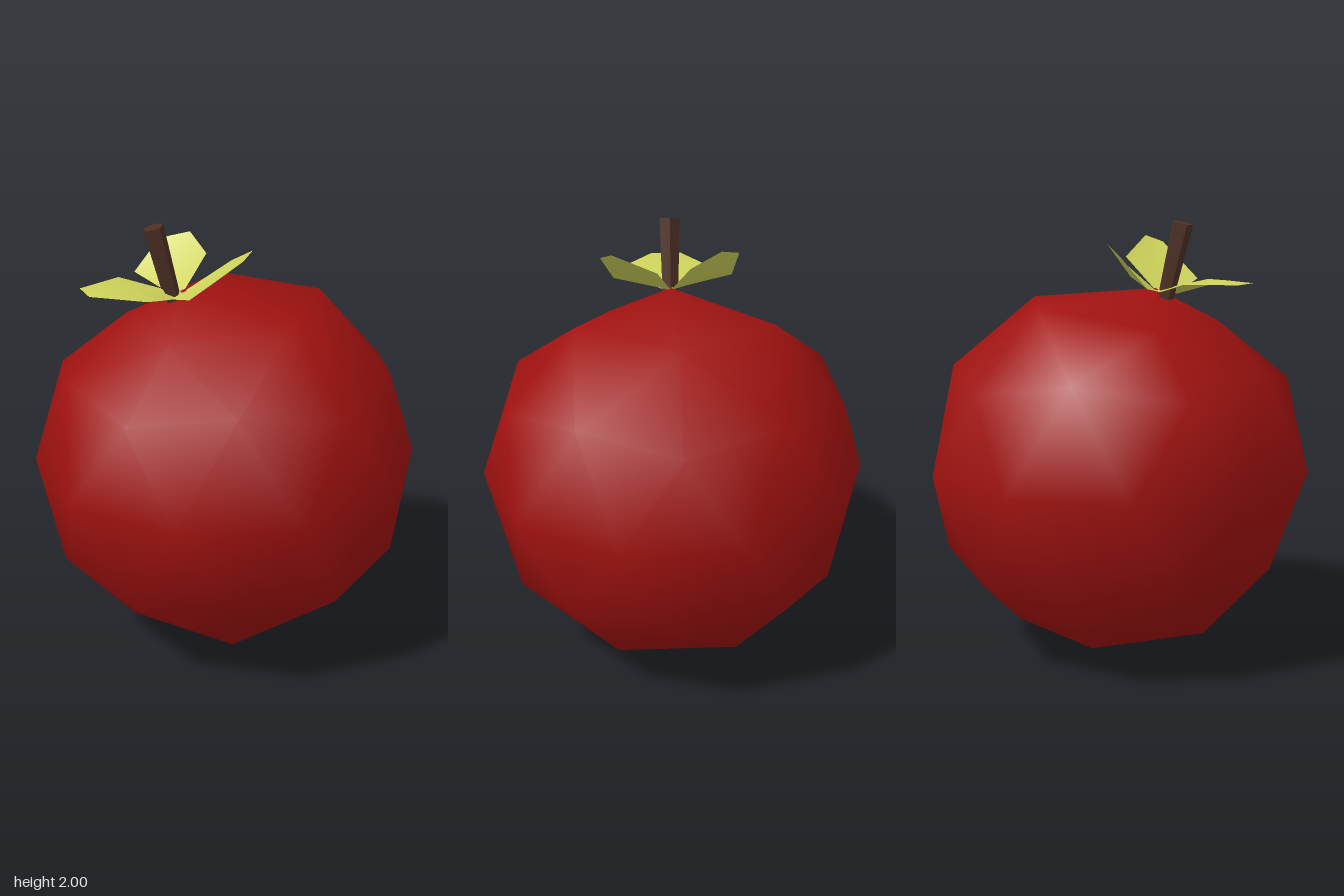
import * as THREE from 'three';
import { mergeVertices } from 'three/addons/utils/BufferGeometryUtils.js';

const paint = (color, extra = {}) => {
  const m = new THREE.MeshStandardMaterial(extra);
  m.color.set(color);
  return m;
};

function part(name, geometry, material) {
  const mesh = new THREE.Mesh(geometry, material);
  mesh.name = name;
  return mesh;
}

// Coarse smooth ball with its crown pushed sideways and dented around the stem
function fruitGeometry() {
  const r = 0.88;
  let g = new THREE.IcosahedronGeometry(r, 1);
  g.deleteAttribute('normal');
  g.deleteAttribute('uv');
  g = mergeVertices(g, 1e-3);
  g.rotateZ(-Math.atan(2 / (1 + Math.sqrt(5)))); // one corner straight up
  g.translate(0, 0.885, 0);
  const p = g.attributes.position;
  for (let i = 0; i < p.count; i++) {
    const x = p.getX(i), y = p.getY(i);
    if (y > 1.7) p.setXYZ(i, -0.2, 1.7, 0);        // crown corner
    else if (y > 1.6 && x < -0.3) p.setY(i, 1.54); // dent beside the stem
  }
  g.computeVertexNormals();
  return g;
}

// Leaf blade: a fan of triangles from the middle point to the outline
function leafGeometry(middle, outline) {
  const g = new THREE.BufferGeometry();
  const n = outline.length, index = [];
  g.setAttribute('position', new THREE.Float32BufferAttribute([middle, ...outline].flat(), 3));
  for (let i = 0; i < n; i++) index.push(0, 1 + ((i + 1) % n), 1 + i);
  g.setIndex(index);
  g.computeVertexNormals();
  return g;
}

export function createModel() {
  const model = new THREE.Group();
  model.name = 'fruit';
  model.add(part('body', fruitGeometry(), paint(0xa01210)));

  // Leaning five-sided stem
  const base = new THREE.Vector3(-0.25, 1.66, 0), tip = new THREE.Vector3(-0.335, 1.99, 0);
  const dir = tip.clone().sub(base);
  const stem = part('stem',
    new THREE.CylinderGeometry(0.048, 0.038, dir.length(), 5, 1, false, Math.PI / 2),
    paint(0x4d3025, { flatShading: true }));
  stem.position.copy(base).lerp(tip, 0.5);
  stem.quaternion.setFromUnitVectors(new THREE.Vector3(0, 1, 0), dir.normalize());
  model.add(stem);

  // Three leaves fanning out from the stem: middle point, then outline
  const leafPaint = paint(0xcdd25a, { side: THREE.DoubleSide });
  const leaves = {
    sideLeaf: [[-0.46, 1.75, 0.01], [
      [-0.2, 1.69, 0], [-0.27, 1.69, -0.08], [-0.44, 1.735, -0.18], [-0.65, 1.735, -0.07],
      [-0.65, 1.735, 0.07], [-0.44, 1.73, 0.22], [-0.28, 1.675, 0.05]]],
    frontLeaf: [[-0.13, 1.76, 0.17], [
      [-0.2, 1.69, 0], [-0.28, 1.68, 0.06], [-0.27, 1.73, 0.26], [-0.05, 1.89, 0.32],
      [0.015, 1.92, 0.27], [0, 1.83, 0.07]]],
    backLeaf: [[-0.18, 1.76, -0.18], [
      [-0.2, 1.69, 0], [-0.06, 1.83, -0.08], [-0.085, 1.9, -0.22], [-0.2, 1.86, -0.31],
      [-0.33, 1.72, -0.29], [-0.27, 1.69, -0.08]]],
  };
  for (const [name, [middle, outline]] of Object.entries(leaves))
    model.add(part(name, leafGeometry(middle, outline), leafPaint));

  return model;
}
